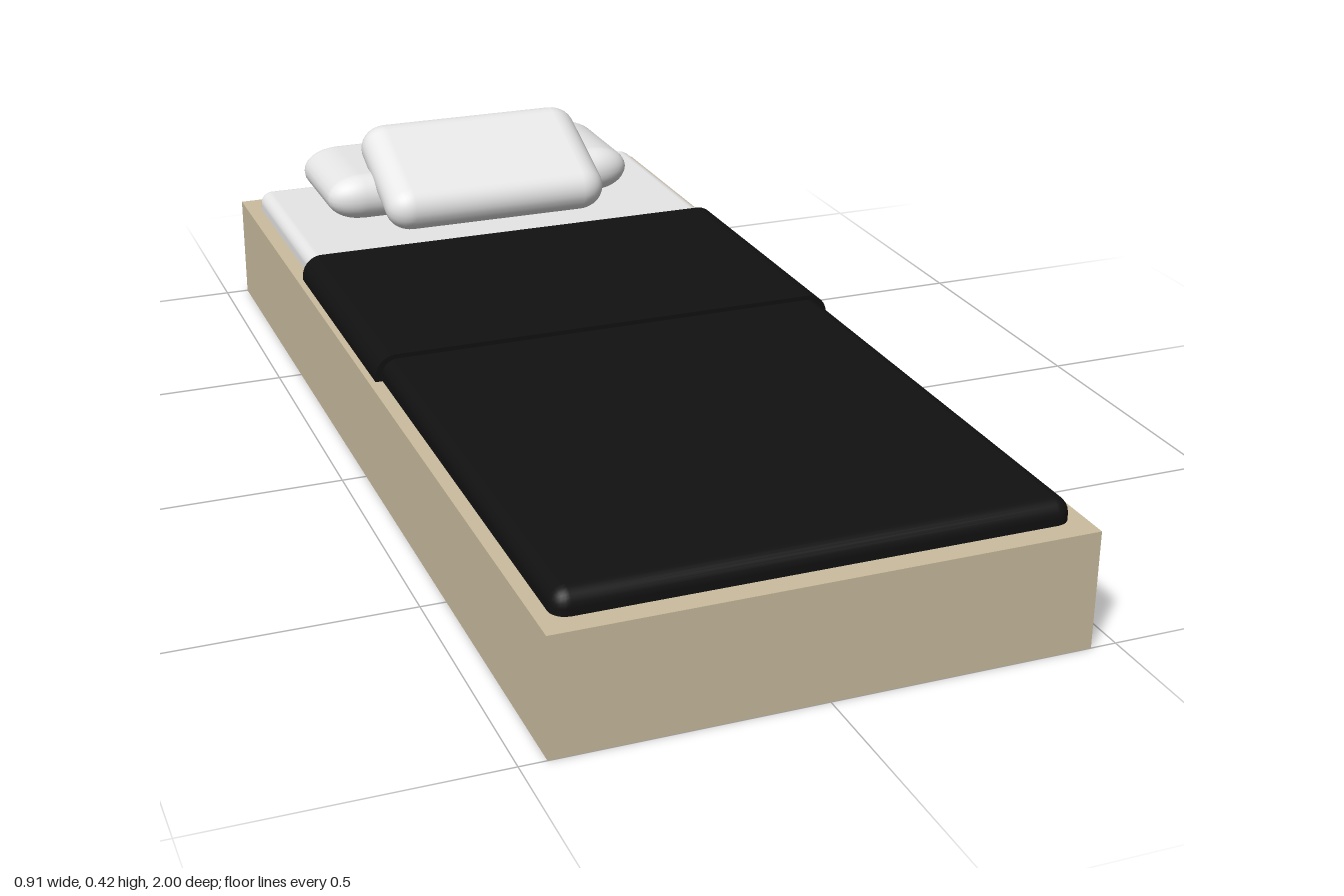
import * as THREE from 'three';
import { RoundedBoxGeometry } from 'three/addons/geometries/RoundedBoxGeometry.js';

const material = (name, color) => {
  const m = new THREE.MeshStandardMaterial({ color });
  m.name = name;
  return m;
};

export function createModel() {
  const group = new THREE.Group();
  group.name = 'bed';
  const wood = material('pale wood', 0xccbd9f);
  const linen = material('white linen', 0xf0f0f0);
  const wool = material('black wool', 0x111111);

  const add = (name, geometry, mat, x, y, z) => {
    const mesh = new THREE.Mesh(geometry, mat);
    mesh.name = name;
    mesh.position.set(x, y, z);
    group.add(mesh);
    return mesh;
  };

  // Solid base
  add('bedBase', new THREE.BoxGeometry(0.91, 0.207, 2), wood, 0, 0.1035, 0);

  // Mattress, with the blanket wrapped closely over it
  add('mattress', new RoundedBoxGeometry(0.852, 0.075, 1.912, 3, 0.025), linen, 0, 0.207, 0);
  add('blanket', new RoundedBoxGeometry(0.86, 0.08, 1.41, 3, 0.028), wool, 0, 0.207, 0.255);

  // Turned-back blanket fold: rounded upper sides, flat ends
  const w = 0.443, bottom = 0.205, top = 0.255, r = 0.04;
  const section = new THREE.Shape();
  section.moveTo(-w, bottom);
  section.lineTo(w, bottom);
  section.lineTo(w, top - r);
  section.absarc(w - r, top - r, r, 0, Math.PI / 2, false);
  section.lineTo(-w + r, top);
  section.absarc(-w + r, top - r, r, Math.PI / 2, Math.PI, false);
  section.closePath();
  const fold = new THREE.ExtrudeGeometry(section, { depth: 0.54, bevelEnabled: false, curveSegments: 6 });
  add('blanketFold', fold, wool, 0, 0, -0.49);

  // Pillows: rounded boxes stretched sideways for softer ends
  const pillow = (name, width, stretch, y, z, tilt) => {
    const geometry = new RoundedBoxGeometry(width / stretch, 0.095, 0.283, 4, 0.047);
    geometry.scale(stretch, 1, 1);
    add(name, geometry, linen, -0.005, y, z).rotation.x = tilt;
  };
  pillow('backPillow', 0.66, 1.6, 0.292, -0.805, 0);
  pillow('frontPillow', 0.47, 1.13, 0.332, -0.685, 0.4);

  return group;
}
